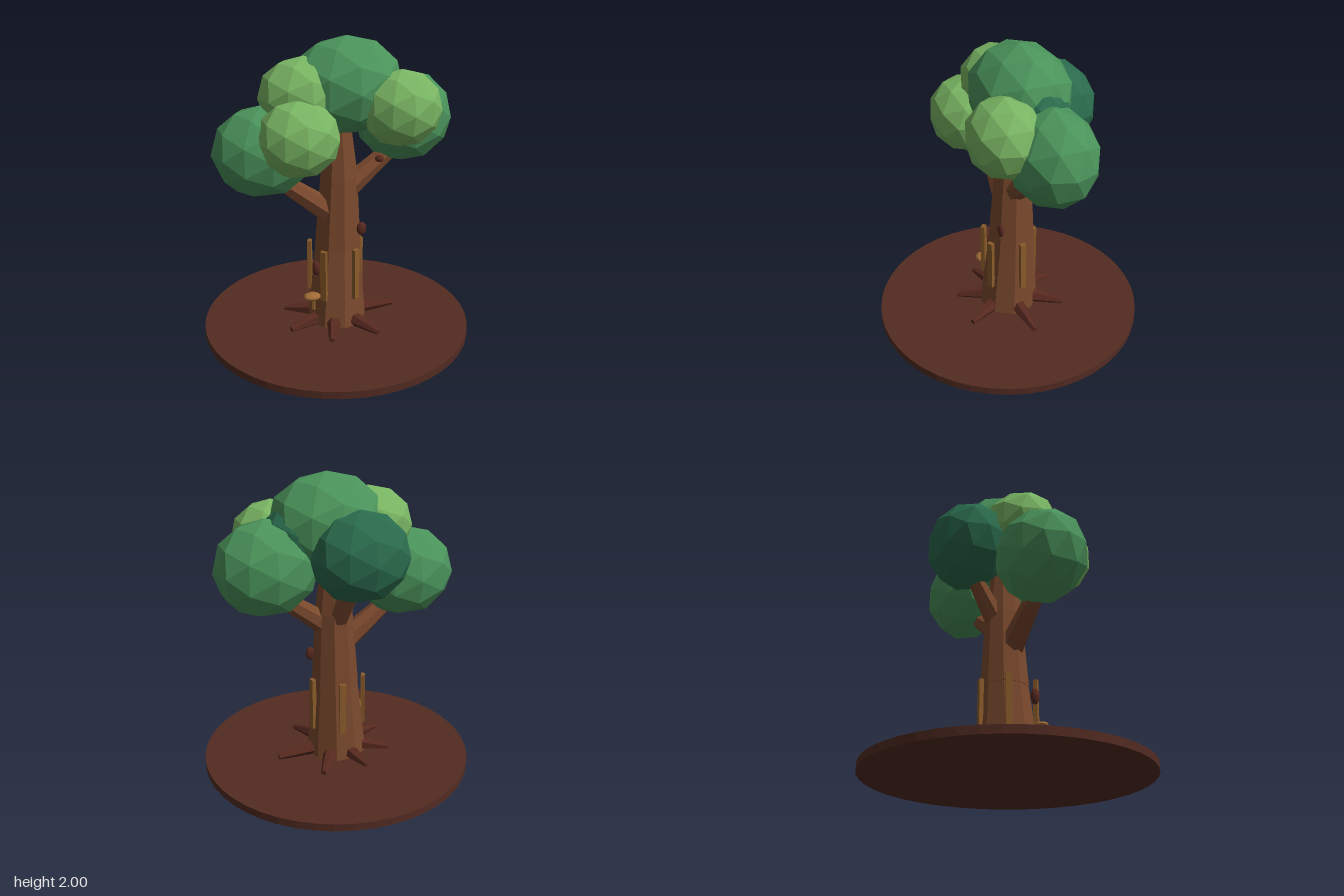
import * as THREE from 'three';

export function createModel() {
  const tree = new THREE.Group();
  tree.name = 'tree';

  const material = (name, color) => {
    const m = new THREE.MeshStandardMaterial({ color, flatShading: true });
    m.name = name;
    return m;
  };
  const soil = material('soil', 0x522b22);
  const bark = material('bark', 0x7a492d);
  const darkBark = material('dark bark', 0x57291f);
  const strip = material('bark strip', 0x8a5c2a);
  const cap = material('mushroom cap', 0xa06a35);
  const light = material('light leaves', 0x78b462);
  const medium = material('medium leaves', 0x4a925a);
  const dark = material('dark leaves', 0x2a6a4c);

  const add = (name, geometry, mat, x = 0, y = 0, z = 0) => {
    const mesh = new THREE.Mesh(geometry, mat);
    mesh.name = name;
    mesh.position.set(x, y, z);
    tree.add(mesh);
    return mesh;
  };

  // Tapered limb running between two points
  const limb = (name, from, to, r0, r1, sides, mat) => {
    const a = new THREE.Vector3(...from), b = new THREE.Vector3(...to);
    const dir = b.clone().sub(a);
    const mesh = add(name, new THREE.CylinderGeometry(r1, r0, dir.length(), sides), mat);
    mesh.position.copy(a).add(b).multiplyScalar(0.5);
    mesh.quaternion.setFromUnitVectors(new THREE.Vector3(0, 1, 0), dir.normalize());
    return mesh;
  };

  // Faceted ellipsoid
  const blob = (name, [x, y, z], [rx, ry, rz], mat, detail = 1) => {
    const mesh = add(name, new THREE.IcosahedronGeometry(1, detail), mat, x, y, z);
    mesh.scale.set(rx, ry, rz);
    return mesh;
  };

  // Ground disc
  add('ground', new THREE.CylinderGeometry(0.91, 0.91, 0.05, 48), soil, 0, 0.025, 0);

  // Trunk in three leaning sections
  limb('lowerTrunk', [0, 0.05, 0], [0.015, 0.6, -0.015], 0.205, 0.152, 9, bark);
  limb('middleTrunk', [0.015, 0.58, -0.015], [0.025, 1.1, -0.02], 0.158, 0.123, 9, bark);
  limb('upperTrunk', [0.025, 1.08, -0.02], [0.02, 1.5, -0.02], 0.126, 0.075, 9, bark);

  // Branches
  limb('rightBranch', [-0.03, 0.83, 0], [-0.45, 1.15, 0], 0.085, 0.05, 7, bark);
  limb('leftBranch', [0.06, 0.98, -0.01], [0.45, 1.27, -0.04], 0.08, 0.05, 7, bark);
  limb('backBranch', [0.02, 1.02, -0.06], [-0.02, 1.4, -0.32], 0.075, 0.045, 7, bark);

  // Roots spreading over the ground
  const roots = [[-3, 0.43], [61, 0.39], [112, 0.37], [160, 0.38], [208, 0.37], [256, 0.35], [304, 0.39]];
  for (const [degrees, reach] of roots) {
    const a = THREE.MathUtils.degToRad(degrees);
    const c = Math.cos(a), s = Math.sin(a);
    limb('root', [c * 0.15, 0.09, s * 0.15], [c * reach, 0.07, s * reach], 0.055, 0.018, 6, darkBark);
  }

  // Upright bark strips around the trunk
  for (let i = 0; i < 5; i++) {
    const a = THREE.MathUtils.degToRad(-10 + i * 72);
    const mesh = add('barkStrip', new THREE.BoxGeometry(0.042, 0.36, 0.028), strip,
      Math.cos(a) * 0.183, 0.435, Math.sin(a) * 0.183);
    mesh.rotation.y = Math.PI / 2 - a;
  }

  // Knots
  blob('trunkKnot', [0.142, 0.74, 0.11], [0.034, 0.048, 0.02], darkBark);
  blob('trunkKnot', [-0.17, 0.49, 0.1], [0.028, 0.055, 0.03], darkBark);
  blob('branchKnot', [0.29, 1.19, 0.03], [0.03, 0.025, 0.03], darkBark);

  // Mushroom
  add('mushroomStem', new THREE.CylinderGeometry(0.012, 0.015, 0.1, 6), strip, -0.195, 0.24, 0.11);
  blob('mushroomCap', [-0.205, 0.29, 0.115], [0.06, 0.024, 0.05], cap);

  // Leaf clusters: centre, radii, colour
  const leaves = [
    [[0.08, 1.68, -0.04], [0.38, 0.32, 0.32], medium],
    [[-0.475, 1.3, -0.02], [0.335, 0.3, 0.285], medium],
    [[0.49, 1.44, -0.075], [0.335, 0.31, 0.275], medium],
    [[-0.03, 1.52, -0.32], [0.32, 0.29, 0.265], dark],
    [[0.25, 1.61, -0.07], [0.26, 0.24, 0.21], dark],
    [[-0.21, 1.64, -0.02], [0.295, 0.25, 0.25], light],
    [[-0.297, 1.42, 0.18], [0.265, 0.25, 0.24], light],
    [[0.375, 1.56, 0.175], [0.265, 0.25, 0.24], light],
  ];
  for (const [centre, radii, mat] of leaves) blob('leafCluster', centre, radii, mat);

  return tree;
}
